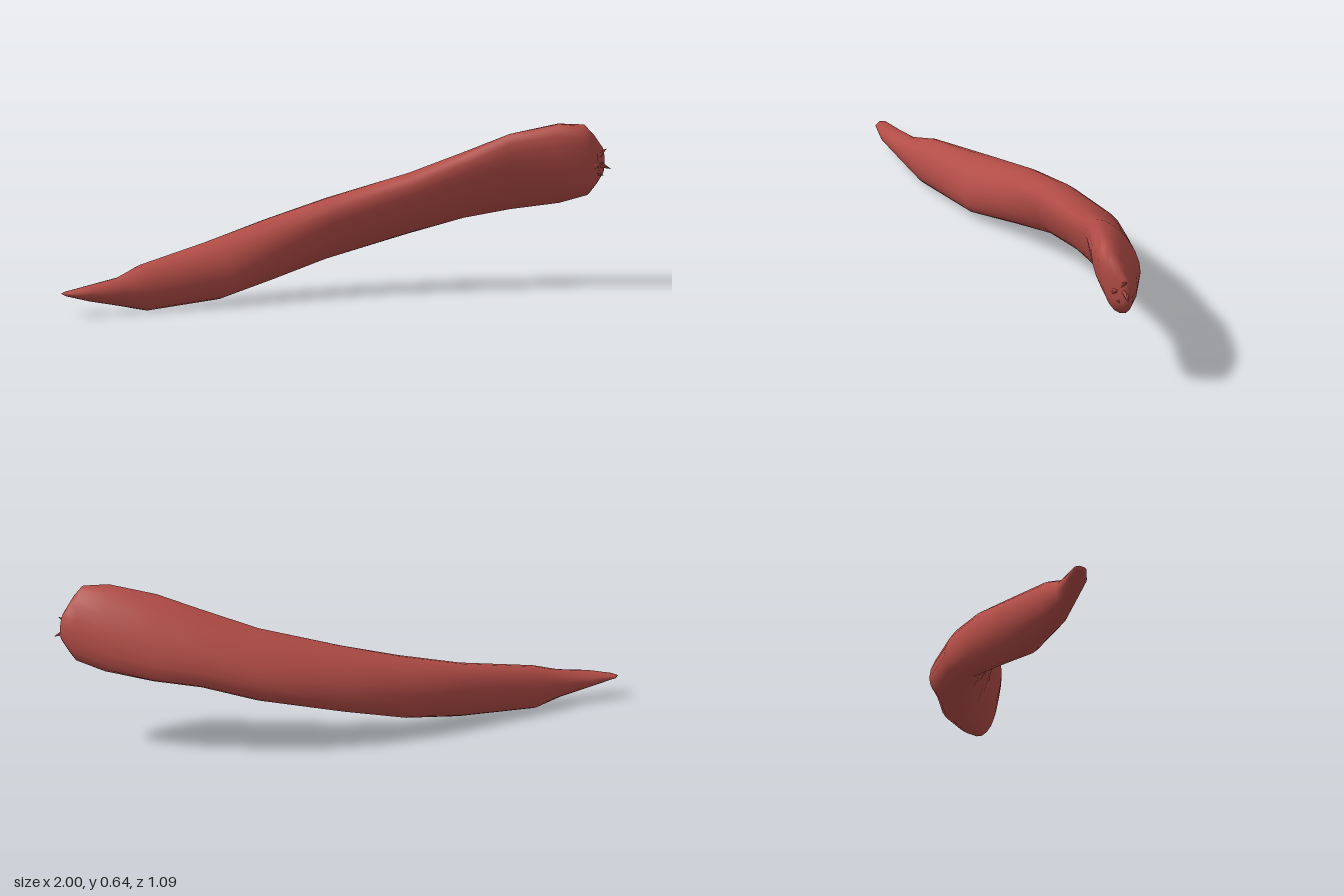
import * as THREE from 'three';

const SIDES = 20;

// Sections from tip to broad end: back edge x, z, front edge x, z, low y, high y,
// skew in degrees (under 90 leans the crest forward), hollow of the lower front
const SECTIONS = [
  [-0.995, 0.5, -0.965, 0.54, 0.08, 0.097, 90, 0],
  [-0.91, 0.435, -0.88, 0.515, 0.055, 0.118, 90, 0],
  [-0.82, 0.37, -0.76, 0.438, 0.03, 0.14, 92, 0],
  [-0.76, 0.285, -0.65, 0.365, 0.003, 0.178, 98, 0],
  [-0.54, 0.06, -0.38, 0.17, 0.023, 0.243, 100, 0],
  [-0.34, -0.14, -0.2, 0.015, 0.07, 0.312, 85, 0.05],
  [-0.1, -0.31, -0.03, -0.1, 0.135, 0.378, 76, 0.12],
  [0.21, -0.47, 0.26, -0.212, 0.215, 0.463, 68, 0.15],
  [0.42, -0.51, 0.48, -0.28, 0.272, 0.545, 62, 0.15],
  [0.61, -0.55, 0.63, -0.333, 0.3, 0.61, 58, 0.12],
  [0.8, -0.546, 0.81, -0.367, 0.328, 0.648, 62, 0.05],
  [0.92, -0.535, 0.9, -0.39, 0.362, 0.643, 66, 0.25],
  [0.95, -0.53, 0.93, -0.41, 0.4, 0.605, 70, 0.3],
  [0.975, -0.525, 0.955, -0.46, 0.44, 0.555, 80, 0.2],
];

function ring([bx, bz, fx, fz, low, high, skew, hollow]) {
  const points = [];
  for (let j = 0; j < SIDES; j++) {
    const t = (j / SIDES) * Math.PI * 2;
    const v = Math.cos(t - THREE.MathUtils.degToRad(skew));
    const dent = 1 - hollow * Math.max(0, Math.cos(t + 0.6)) ** 2;
    const u = Math.cos(t) * dent;
    points.push([
      (bx + fx) / 2 + (u * (fx - bx)) / 2,
      (low + high) / 2 + (v * (high - low)) / 2,
      (bz + fz) / 2 + (u * (fz - bz)) / 2,
    ]);
  }
  return points;
}

// Skin the sections and close both ends with a fan
function loft(sections, startPoint, endPoint) {
  const positions = sections.flatMap(s => ring(s).flat());
  const count = sections.length * SIDES;
  positions.push(...startPoint, ...endPoint);
  const index = [];
  for (let j = 0; j < SIDES; j++) {
    const k = (j + 1) % SIDES;
    for (let i = 0; i < sections.length - 1; i++) {
      const a = i * SIDES + j, b = i * SIDES + k;
      index.push(a, a + SIDES, b, b, a + SIDES, b + SIDES);
    }
    const last = count - SIDES;
    index.push(count, j, k, last + j, count + 1, last + k);
  }
  const geometry = new THREE.BufferGeometry();
  geometry.setAttribute('position', new THREE.Float32BufferAttribute(positions, 3));
  geometry.setIndex(index);
  geometry.computeVertexNormals();
  return geometry;
}

export function createModel() {
  const model = new THREE.Group();
  model.name = 'curvedPod';
  const red = new THREE.MeshStandardMaterial({ color: 0xb24c46 });
  red.name = 'dull red';

  // Curved tapering body with a slightly dished broad end
  const body = new THREE.Mesh(loft(SECTIONS, [-1, 0.09, 0.525], [0.955, 0.49, -0.495]), red);
  body.name = 'body';
  model.add(body);

  // Ragged shreds at the broad end: root and tip
  const shreds = [
    [[0.93, 0.5, -0.49], [0.985, 0.54, -0.515]],
    [[0.93, 0.49, -0.5], [1.0, 0.46, -0.52]],
    [[0.92, 0.46, -0.47], [0.975, 0.44, -0.485]],
    [[0.93, 0.48, -0.46], [0.98, 0.49, -0.475]],
  ];
  const end = new THREE.Group();
  end.name = 'raggedEnd';
  for (const [root, tip] of shreds) {
    const a = new THREE.Vector3(...root), b = new THREE.Vector3(...tip);
    const direction = b.clone().sub(a);
    const shred = new THREE.Mesh(new THREE.ConeGeometry(0.022, direction.length(), 5), red);
    shred.name = 'shred';
    shred.position.copy(a).add(b).multiplyScalar(0.5);
    shred.quaternion.setFromUnitVectors(new THREE.Vector3(0, 1, 0), direction.normalize());
    end.add(shred);
  }
  model.add(end);
  return model;
}
